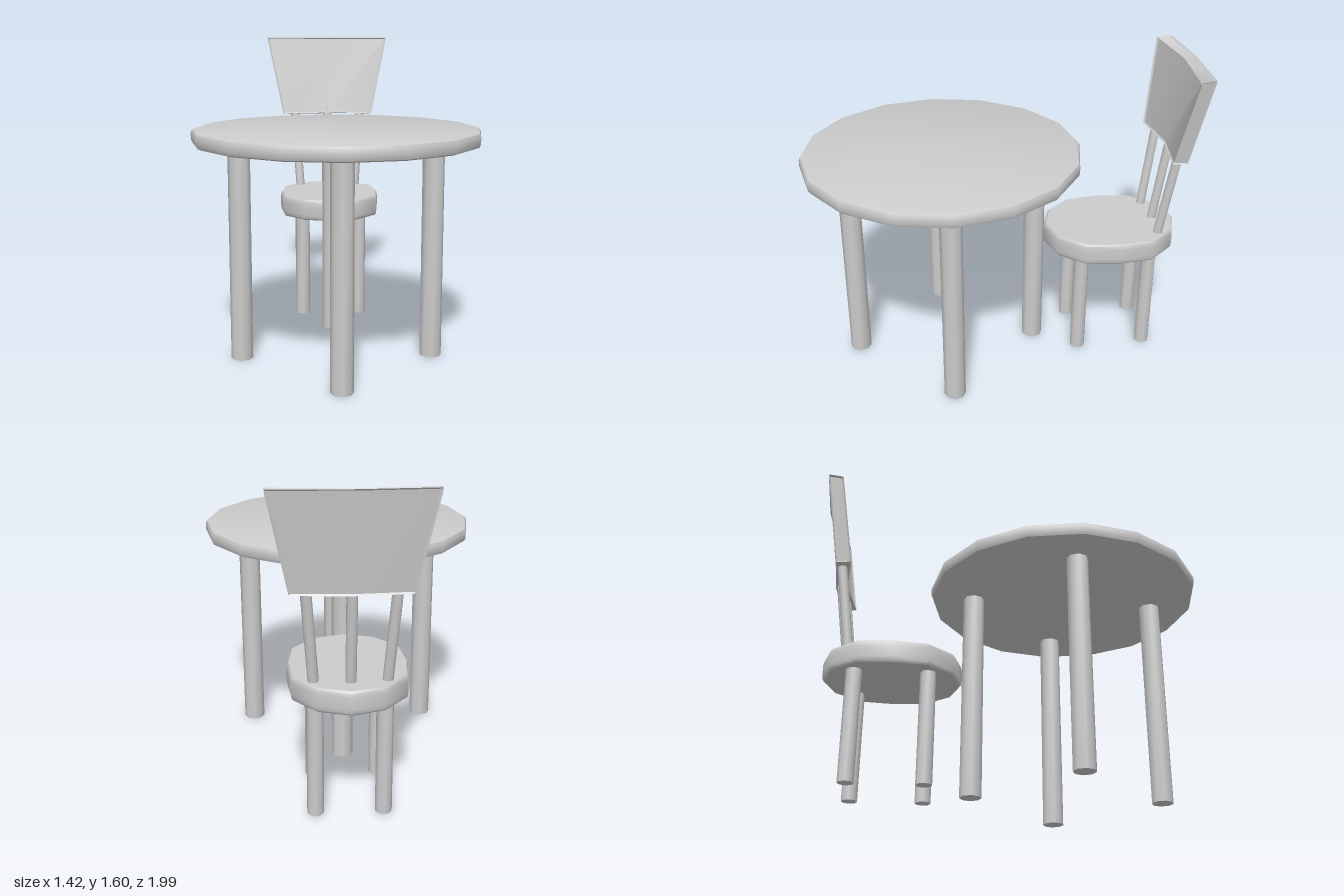
import * as THREE from 'three';
import { toCreasedNormals } from 'three/addons/utils/BufferGeometryUtils.js';

const material = new THREE.MeshStandardMaterial({ color: 0xcccccc });

function part(name, geometry, crease = 0.7) {
  const mesh = new THREE.Mesh(toCreasedNormals(geometry, crease), material);
  mesh.name = name;
  return mesh;
}

// Round slab with softened rims, from y0 to y1
function disc(radius, y0, y1, bevel, sides) {
  const b = bevel;
  const profile = [
    [0, y0], [radius - b, y0], [radius - b * 0.3, y0 + b * 0.3], [radius, y0 + b],
    [radius, y1 - b], [radius - b * 0.3, y1 - b * 0.3], [radius - b, y1], [0, y1],
  ].map(([x, y]) => new THREE.Vector2(x, y));
  return new THREE.LatheGeometry(profile, sides);
}

// Straight rod between two points
function rod(name, from, to, radius, sides = 8) {
  const a = new THREE.Vector3(...from), b = new THREE.Vector3(...to);
  const dir = b.clone().sub(a);
  const mesh = part(name, new THREE.CylinderGeometry(radius, radius, dir.length(), sides), 0.9);
  mesh.position.copy(a).add(b).multiplyScalar(0.5);
  mesh.quaternion.setFromUnitVectors(new THREE.Vector3(0, 1, 0), dir.normalize());
  return mesh;
}

function deform(geometry, rule) {
  const p = geometry.attributes.position;
  const v = new THREE.Vector3();
  for (let i = 0; i < p.count; i++) {
    rule(v.fromBufferAttribute(p, i));
    p.setXYZ(i, v.x, v.y, v.z);
  }
  geometry.computeVertexNormals();
  return geometry;
}

function createTable() {
  const table = new THREE.Group();
  table.name = 'table';
  table.position.z = 0.285;
  table.add(part('tableTop', disc(0.71, 1.095, 1.17, 0.022, 16)));
  for (const [x, z] of [[0.48, 0], [-0.48, 0], [0, 0.48], [0, -0.48]]) {
    table.add(rod('tableLeg', [x, 0, z], [x, 1.11, z], 0.055));
  }
  return table;
}

// Tapered, leaning panel with a shallow bend at its centre and chamfered edges
function backrestGeometry() {
  const inset = [0.965, 0.96, 0.75];
  return deform(new THREE.BoxGeometry(2, 2, 2, 4, 3, 3), (v) => {
    const c = v.toArray();
    const grid = c.map((t, k) => {
      const a = Math.abs(t);
      return a > 0.99 ? t : a < 0.01 ? 0 : Math.sign(t) * inset[k];
    });
    const extremes = grid.filter((t) => Math.abs(t) > 0.99).length;
    const pull = [0, 0, 0.7, 0.5][extremes];
    const [u, h, d] = grid.map((t, k) =>
      Math.abs(t) > 0.99 ? Math.sign(t) * (1 - (1 - inset[k]) * (1 - pull)) : t);
    const rise = (h + 1) / 2;
    v.x = u * (0.27 + 0.095 * rise);
    v.y = 1.13 + 0.465 * rise + 0.01 * d * (0.5 - rise);
    const bend = (d > 0 ? 0.035 : 0.018) * (1 - Math.abs(u));
    v.z = -0.875 - 0.068 * rise + 0.042 * d - bend;
  });
}

function createChair() {
  const chair = new THREE.Group();
  chair.name = 'chair';

  // Seat: long twelve-sided oval, slightly squared
  const seat = deform(disc(1, 0.585, 0.7, 0.03, 12), (v) => {
    const r = Math.hypot(v.x, v.z);
    const s = r > 0 ? (2 * v.x * v.z) / (r * r) : 0;
    v.x *= 0.285 * (1 + 0.1 * s * s);
    v.z = v.z * 0.355 - 0.605;
  });
  chair.add(part('seat', seat));

  for (const x of [-0.16, 0.16]) {
    for (const z of [-0.425, -0.79]) {
      chair.add(rod('chairLeg', [x, 0.01, z], [x, 0.61, z], 0.04));
    }
  }

  // Spindles between seat and backrest
  for (const side of [-1, 0, 1]) {
    const back = side === 0 ? 0.015 : 0;
    chair.add(rod('spindle', [side * 0.165, 0.67, -0.823 - back],
      [side * 0.2, 1.18, -0.892 - back], 0.025));
  }
  chair.add(part('backrest', backrestGeometry(), 0.6));
  return chair;
}

export function createModel() {
  const model = new THREE.Group();
  model.name = 'tableAndChair';
  model.add(createTable(), createChair());
  return model;
}
